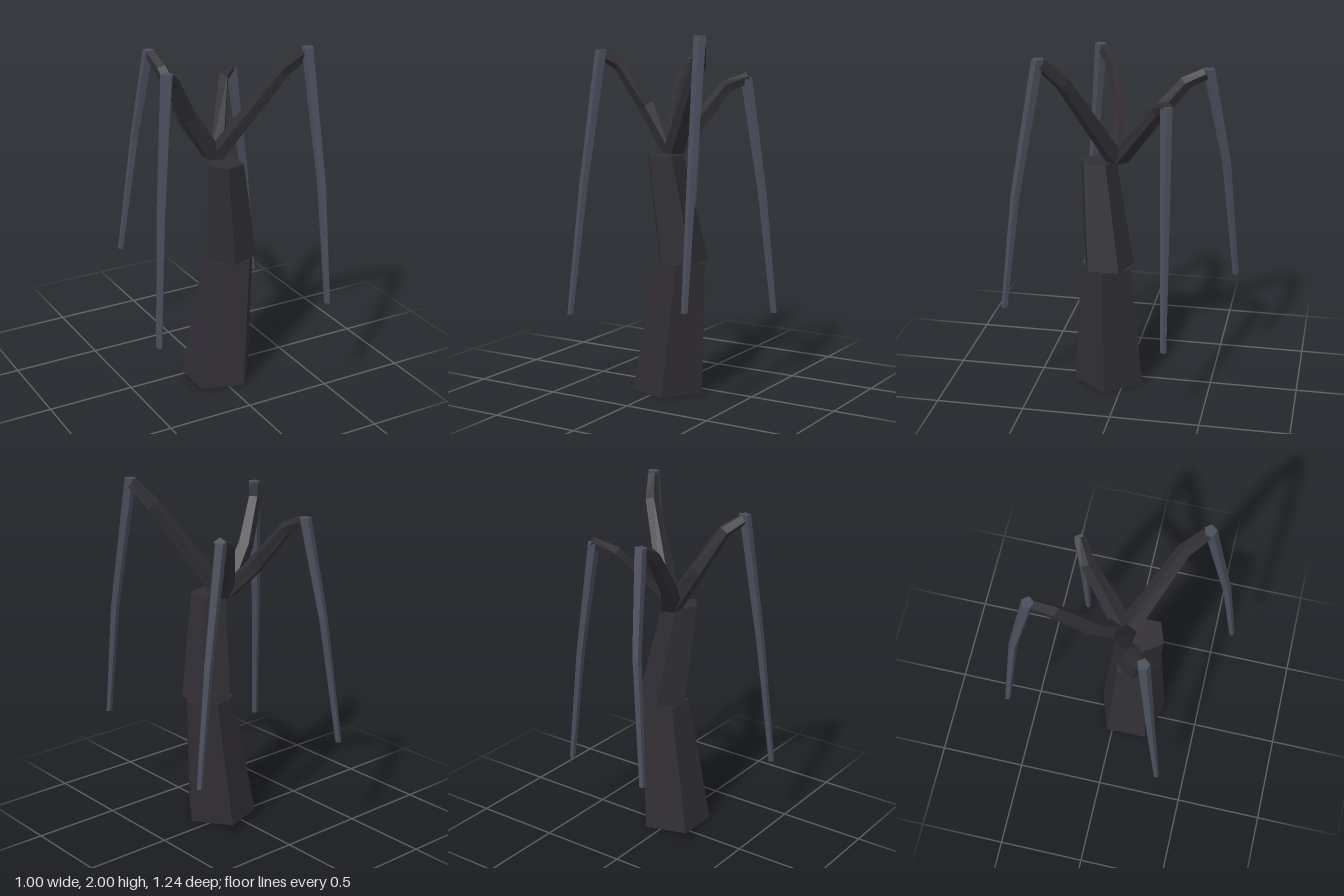
import * as THREE from 'three';

const UP = new THREE.Vector3(0, 1, 0);

// A ring is { c: centre, r: radius, n: normal }
const ring = (c, r, n = UP) => ({ c: new THREE.Vector3(...c), r, n });

// Five-sided, flat-faced, capped limb running from ring a (low end) to ring b
function limb(name, a, b, material, start = Math.PI / 2) {
  const cyl = new THREE.CylinderGeometry(1, 1, 1, 5, 1, false, start);
  const pos = cyl.attributes.position;
  const v = new THREE.Vector3();
  const q = new THREE.Quaternion();
  for (let i = 0; i < pos.count; i++) {
    const end = pos.getY(i) > 0 ? b : a;
    q.setFromUnitVectors(UP, end.n);
    v.set(pos.getX(i) * end.r, 0, pos.getZ(i) * end.r).applyQuaternion(q).add(end.c);
    pos.setXYZ(i, v.x, v.y, v.z);
  }
  const geometry = cyl.toNonIndexed();
  geometry.computeVertexNormals();
  const mesh = new THREE.Mesh(geometry, material);
  mesh.name = name;
  return mesh;
}

export function createModel() {
  const bark = new THREE.MeshStandardMaterial({ color: 0x302e34 });
  bark.name = 'dark bark';
  const frondGrey = new THREE.MeshStandardMaterial({ color: 0x4a4e5b });
  frondGrey.name = 'slate frond';

  const tree = new THREE.Group();
  tree.name = 'weepingTree';

  // Two leaning trunk blocks, the upper one turned half a side
  tree.add(limb('lowerTrunk', ring([0.02, 0, 0.088], 0.21), ring([0.1, 0.75, 0.09], 0.148), bark));
  tree.add(limb('upperTrunk', ring([0.1, 0.75, 0.09], 0.148), ring([0.025, 1.34, 0.157], 0.105), bark, -Math.PI / 2));

  // Each branch: points rising from the fork, then points of the hanging frond
  const fork = [0.02, 1.34, 0.045];
  const branches = [
    { name: 'frontLeft',
      rise: [fork, [0.32, 1.86, 0.28], [0.385, 1.97, 0.38]], radii: [0.065, 0.042, 0.034],
      hang: [[0.39, 2.0, 0.39], [0.42, 1.25, 0.525], [0.427, 0.59, 0.605]] },
    { name: 'frontRight',
      rise: [fork, [-0.15, 1.6, 0.06], [-0.28, 1.83, 0.13], [-0.35, 1.885, 0.2]], radii: [0.065, 0.048, 0.04, 0.034],
      hang: [[-0.35, 1.91, 0.21], [-0.43, 1.15, 0.28], [-0.485, 0.42, 0.345]] },
    { name: 'backRight',
      rise: [fork, [-0.075, 1.53, -0.11], [-0.12, 1.77, -0.31], [-0.13, 1.825, -0.42]], radii: [0.065, 0.05, 0.04, 0.034],
      hang: [[-0.135, 1.85, -0.435], [-0.185, 1.3, -0.54], [-0.262, 0.59, -0.603]] },
    { name: 'backLeft',
      rise: [fork, [0.21, 1.7, -0.21], [0.315, 1.752, -0.275]], radii: [0.065, 0.042, 0.034],
      hang: [[0.305, 1.755, -0.27], [0.405, 1.1, -0.285], [0.48, 0.42, -0.295]] },
  ];

  for (const { name, rise, radii, hang } of branches) {
    const group = new THREE.Group();
    group.name = name + 'Branch';

    // Rising bark pieces, with a level foot and joints that follow the bend
    const rings = rise.map((p, i) => {
      if (i === 0) return ring(p, radii[i]);
      const prev = new THREE.Vector3(...rise[i - 1]);
      const next = new THREE.Vector3(...(rise[i + 1] ?? p));
      return ring(p, radii[i], next.sub(prev).normalize());
    });
    for (let i = 1; i < rings.length; i++) {
      group.add(limb('branchSegment', rings[i - 1], rings[i], bark));
    }

    // Hanging frond, tapering down with level ends
    const hangRings = hang.map((p, i) => ring(p, [0.035, 0.026, 0.018][i]));
    for (let i = 1; i < hangRings.length; i++) {
      group.add(limb('hangingFrond', hangRings[i], hangRings[i - 1], frondGrey));
    }
    tree.add(group);
  }
  return tree;
}
